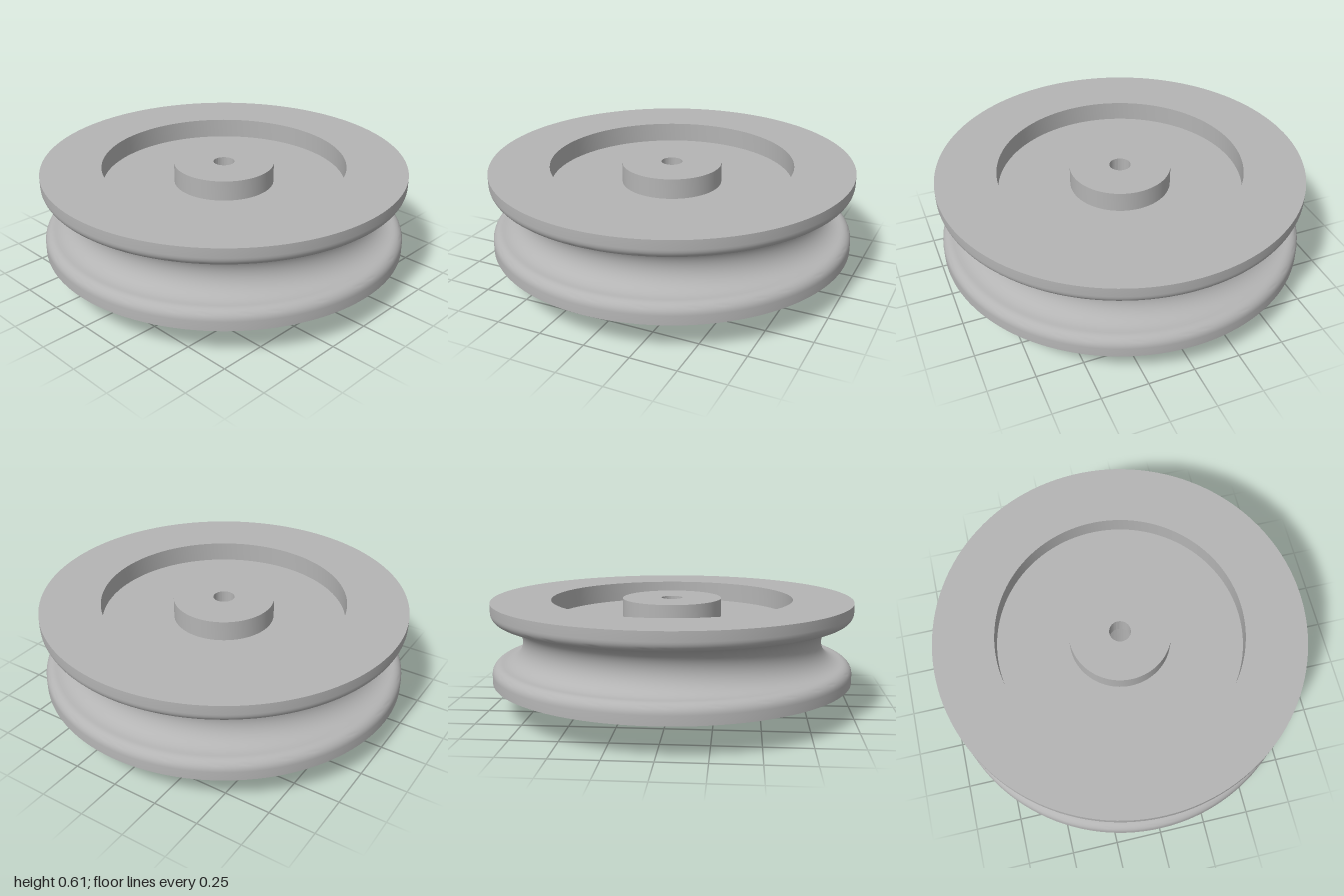
import * as THREE from 'three';
import { toCreasedNormals } from 'three/addons/utils/BufferGeometryUtils.js';

const SEGMENTS = 128;

// Profile heights and radii
const RIM_BOTTOM = 0.17, RIM_TOP = 0.61, MID = 0.39;
const WEB_BOTTOM = 0.28, WEB_TOP = 0.5;
const RECESS_R = 0.67, HUB_R = 0.275;
const GROOVE_R = 0.115, FILLET_R = 0.055, ARC_X = 1 - FILLET_R;

// Points along an arc, angles in degrees
function arc(cx, cy, r, from, to, steps) {
  const points = [];
  for (let i = 0; i <= steps; i++) {
    const a = THREE.MathUtils.degToRad(from + ((to - from) * i) / steps);
    points.push([cx + r * Math.cos(a), cy + r * Math.sin(a)]);
  }
  return points;
}

// Revolve a counter-clockwise [radius, height] profile, keeping hard edges
function turned(name, profile, material) {
  const points = profile.map(([r, y]) => new THREE.Vector2(r, y));
  const geometry = toCreasedNormals(new THREE.LatheGeometry(points, SEGMENTS), 0.5);
  const mesh = new THREE.Mesh(geometry, material);
  mesh.name = name;
  return mesh;
}

export function createModel() {
  const metal = new THREE.MeshStandardMaterial({ color: 0xb4b4b4 });
  metal.name = 'grey metal';

  const pulley = new THREE.Group();
  pulley.name = 'pulley';

  // Rim: two flanges with rounded lips around a semicircular rope groove
  const lip = GROOVE_R + FILLET_R;
  pulley.add(turned('groovedRim', [
    [RECESS_R, WEB_BOTTOM],
    [RECESS_R, RIM_BOTTOM],
    [1, RIM_BOTTOM],
    ...arc(ARC_X, MID - lip, FILLET_R, 0, 90, 8),
    ...arc(ARC_X, MID, GROOVE_R, 270, 90, 24).slice(1),
    ...arc(ARC_X, MID + lip, FILLET_R, -90, 0, 8).slice(1),
    [1, RIM_TOP],
    [RECESS_R, RIM_TOP],
    [RECESS_R, WEB_TOP],
  ], metal));

  // Web: recessed faces between hub and rim
  pulley.add(turned('webUnderside', [[HUB_R, WEB_BOTTOM], [RECESS_R, WEB_BOTTOM]], metal));
  pulley.add(turned('webTop', [[RECESS_R, WEB_TOP], [HUB_R, WEB_TOP]], metal));

  // Hub: narrow hole on top, wider chamfered bore from below
  pulley.add(turned('hub', [
    [HUB_R, WEB_TOP],
    [HUB_R, RIM_TOP],
    [0.058, RIM_TOP],
    [0.058, WEB_TOP],
    [0.11, WEB_TOP],
    [0.11, 0.03],
    [0.145, 0],
    [HUB_R, 0],
    [HUB_R, WEB_BOTTOM],
  ], metal));

  return pulley;
}
